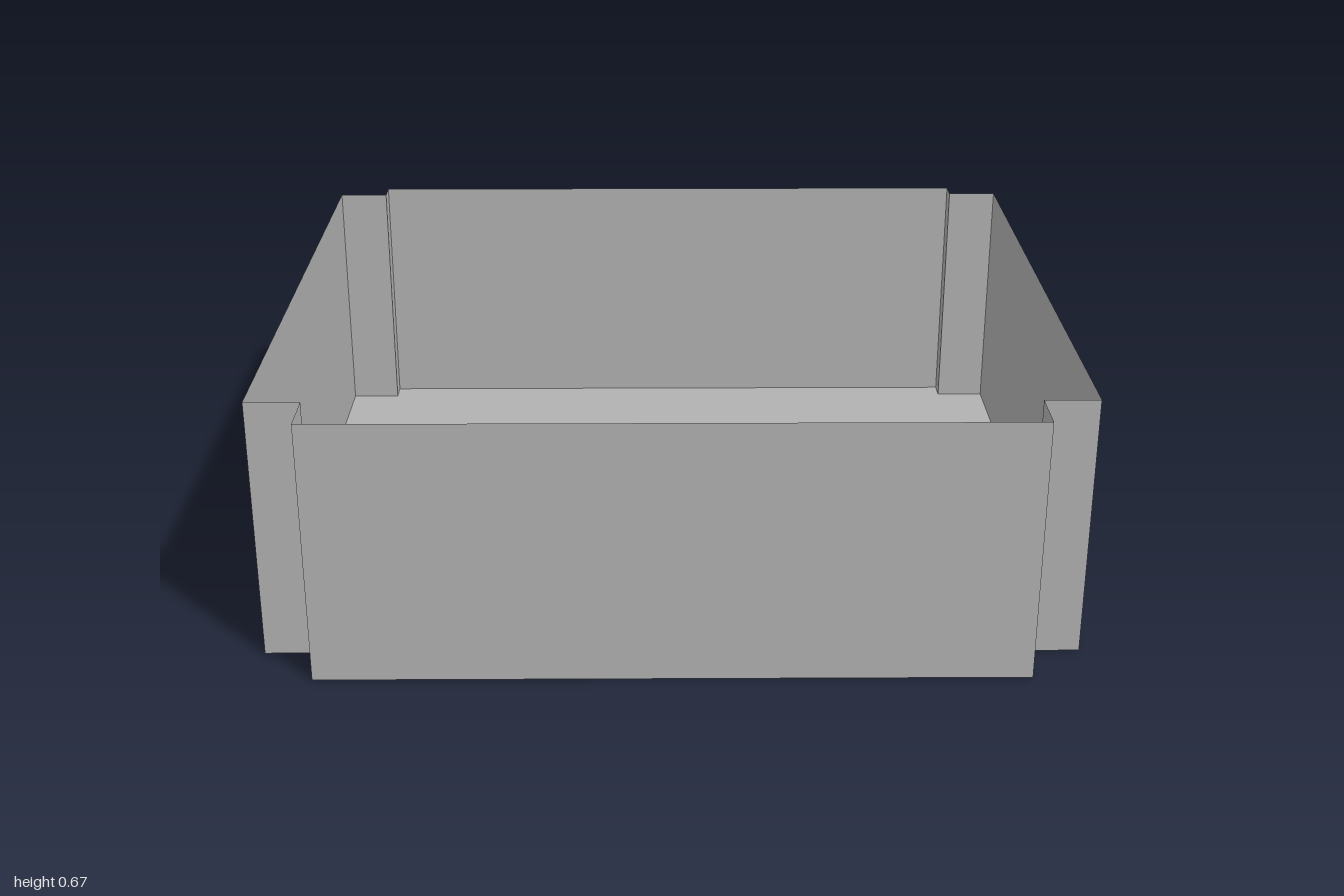
import * as THREE from 'three';

const HEIGHT = 0.67;

// Tray footprint as [x, z], with a notch cut out of each corner
const RIGHT_HALF = [
  [0.865, 0.9], [0.865, 0.773], [1, 0.773],
  [1, -0.842], [0.865, -0.842], [0.865, -0.9],
];
const OUTLINE = [...RIGHT_HALF, ...RIGHT_HALF.map(([x, z]) => [-x, z]).reverse()];

export function createModel() {
  const grey = new THREE.MeshStandardMaterial({ color: 0xb2b2b2, side: THREE.DoubleSide });
  grey.name = 'grey';

  const model = new THREE.Group();
  model.name = 'openTray';

  // Floor: the notched footprint laid flat, facing up
  const shape = new THREE.Shape(OUTLINE.map(([x, z]) => new THREE.Vector2(x, -z)));
  const floor = new THREE.Mesh(new THREE.ShapeGeometry(shape).rotateX(-Math.PI / 2), grey);
  floor.name = 'floor';
  model.add(floor);

  // Walls: one thin upright panel on each edge, facing outward
  const walls = new THREE.Group();
  walls.name = 'walls';
  OUTLINE.forEach(([x0, z0], i) => {
    const [x1, z1] = OUTLINE[(i + 1) % OUTLINE.length];
    const length = Math.hypot(x1 - x0, z1 - z0);
    const panel = new THREE.Mesh(new THREE.PlaneGeometry(length, HEIGHT), grey);
    panel.name = length > 0.5 ? 'sideWall' : 'cornerNotchWall';
    panel.position.set((x0 + x1) / 2, HEIGHT / 2, (z0 + z1) / 2);
    panel.rotation.y = Math.atan2(z0 - z1, x1 - x0);
    walls.add(panel);
  });
  model.add(walls);

  return model;
}
